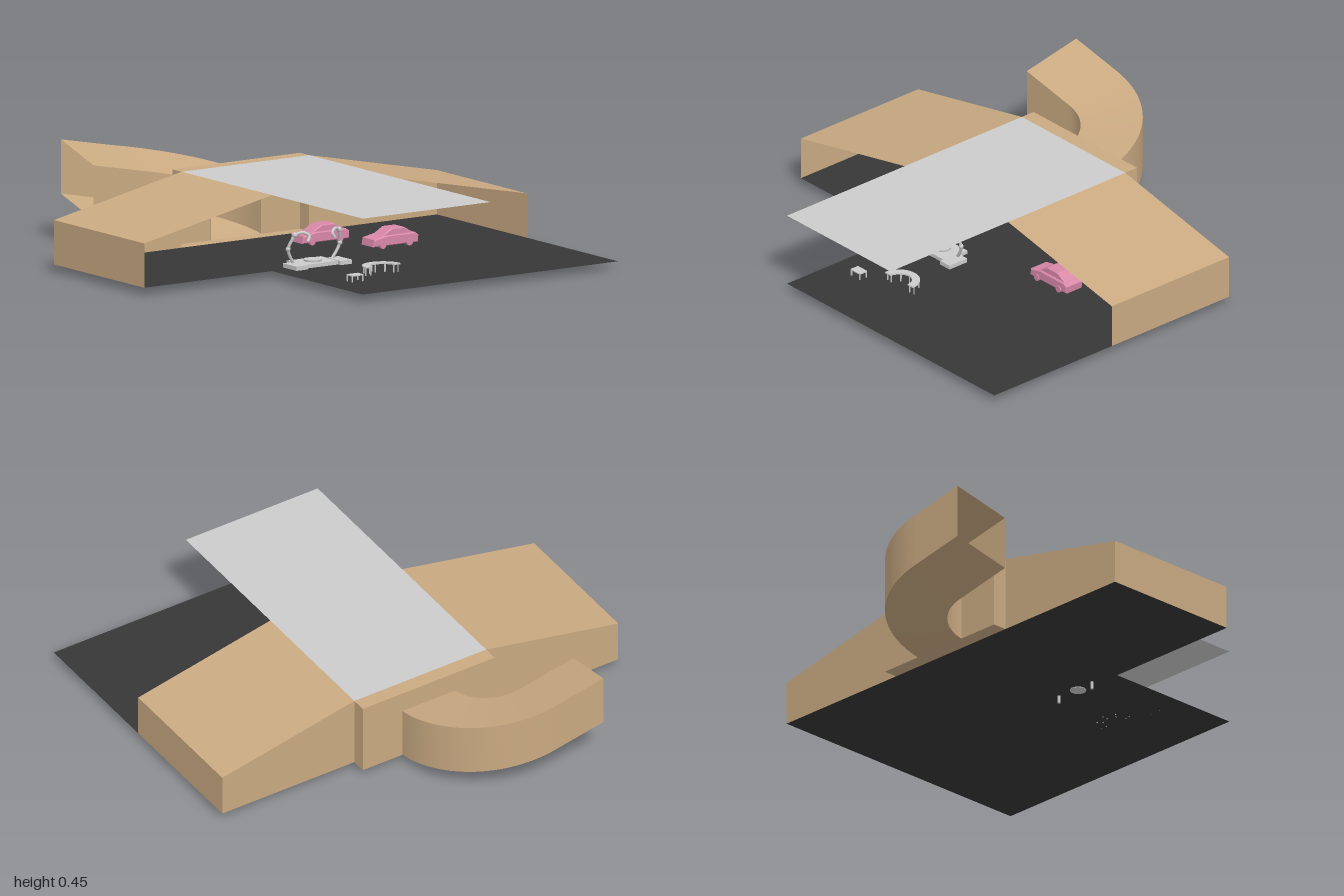
import * as THREE from 'three';

const mat = (color, flat = false) =>
  new THREE.MeshStandardMaterial({ color, side: THREE.DoubleSide, flatShading: flat });
const tan = mat(0xcaaa82), grey = mat(0xcccccc), black = mat(0x373737), pink = mat(0xd988a8, true);

const Y0 = 0.033, YW = 0.225, YR = 0.362;   // floor, wing eave, main roof
const XM = 0.333, ZB = -0.4, ZF = 0.265, ZE = 0.933, ZN = -0.467;

function add(parent, name, geo, material, x = 0, y = 0, z = 0) {
  const m = new THREE.Mesh(geo, material);
  m.name = name;
  m.position.set(x, y, z);
  parent.add(m);
  return m;
}

// ribbon of quads between two rows of points
function ribbon(a, b) {
  const pos = [], idx = [];
  a.forEach((p, i) => {
    pos.push(...p, ...b[i]);
    if (i) { const k = 2 * i; idx.push(k - 2, k - 1, k, k, k - 1, k + 1); }
  });
  const g = new THREE.BufferGeometry();
  g.setAttribute('position', new THREE.Float32BufferAttribute(pos, 3));
  g.setIndex(idx);
  g.computeVertexNormals();
  return g;
}

const flatShape = pts => new THREE.ShapeGeometry(new THREE.Shape(pts.map(p => new THREE.Vector2(...p))));

function tube(parent, name, pts, r) {
  const c = new THREE.CatmullRomCurve3(pts.map(p => new THREE.Vector3(...p)));
  return add(parent, name, new THREE.TubeGeometry(c, 20, r, 8), grey);
}

// open-fronted hall with two sloping wings and a rear recess
function makeHall() {
  const g = new THREE.Group();
  g.name = 'hall';
  const floor = flatShape([[-1, -ZB], [-1, -ZF], [-XM, -ZF], [-XM, -ZE], [1, -ZE], [1, -ZB]]);
  add(g, 'ground', floor.rotateX(-Math.PI / 2), black, 0, Y0, 0);
  add(g, 'mainRoof', ribbon([[-XM, YR, ZE], [XM, YR, ZE]], [[-XM, YR, ZB], [XM, YR, ZB]]), grey);
  for (const s of [-1, 1]) {
    const side = s < 0 ? 'right' : 'left';
    add(g, side + 'WingRoof', ribbon([[s * XM, YR, ZF], [s, YW, ZF]], [[s * XM, YR, ZB], [s, YW, ZB]]), tan);
    add(g, side + 'EndWall', ribbon([[s, YW, ZF], [s, Y0, ZF]], [[s, YW, ZB], [s, Y0, ZB]]), tan);
    add(g, side + 'BackWall', flatShape([[s * XM, Y0], [s, Y0], [s, YW], [s * XM, YR]]), tan, 0, 0, ZB);
    add(g, side + 'RecessWall', ribbon([[s * XM, YR, ZB], [s * XM, Y0, ZB]], [[s * XM, YR, ZN], [s * XM, Y0, ZN]]), tan);
  }
  for (const [name, y] of [['recessRoof', YR], ['recessFloor', Y0]])
    add(g, name, ribbon([[-XM, y, ZB], [XM, y, ZB]], [[-XM, y, ZN], [XM, y, ZN]]), tan);
  // rear wall with doorway
  add(g, 'doorWall', flatShape([[-XM, Y0], [-0.135, Y0], [-0.135, 0.265], [0.13, 0.265],
    [0.13, Y0], [XM, Y0], [XM, YR], [-XM, YR]]), tan, 0, 0, ZN);
  return g;
}

// rising tunnel: quarter turn, then a short straight run
function makeTunnel() {
  const g = new THREE.Group();
  g.name = 'tunnel';
  const H = 0.235, CX = -0.333, N = 32;
  const edge = (r, endX, y) => {
    const row = [];
    for (let i = 0; i <= N; i++) {
      const a = (i / N) * Math.PI / 2;
      row.push([CX + r * Math.cos(a), y + 0.178 * r * a, ZN - r * Math.sin(a)]);
    }
    row.push([endX, row[N][1] + 0.2 * (CX - endX), row[N][2]]);
    return row;
  };
  const ib = edge(0.2, -0.603, Y0), ob = edge(0.465, -0.585, Y0);
  const it = edge(0.2, -0.603, Y0 + H), ot = edge(0.465, -0.585, Y0 + H);
  add(g, 'tunnelFloor', ribbon(ib, ob), tan);
  add(g, 'tunnelRoof', ribbon(ot, it), tan);
  add(g, 'tunnelInnerWall', ribbon(it, ib), tan);
  add(g, 'tunnelOuterWall', ribbon(ob, ot), tan);
  return g;
}

// low-poly car facing -x
function makeCar(name, x, z, len) {
  const g = new THREE.Group();
  g.name = name;
  const extrude = (pts, w, bevel) => new THREE.ExtrudeGeometry(
    new THREE.Shape(pts.map(p => new THREE.Vector2(p[0] * len, p[1]))),
    { depth: w, bevelEnabled: true, bevelSize: bevel, bevelThickness: bevel, bevelSegments: 1 }
  ).translate(0, 0, -w / 2);
  add(g, 'carBody', extrude([[-0.47, 0.014], [0.47, 0.014], [0.48, 0.04], [0.42, 0.05],
    [-0.2, 0.05], [-0.45, 0.038]], 0.085, 0.004), pink);
  add(g, 'carCabin', extrude([[-0.26, 0.05], [0.42, 0.05], [0.2, 0.077], [-0.06, 0.077]], 0.065, 0.004), pink);
  for (const wx of [-0.29, 0.29]) for (const wz of [-0.042, 0.042])
    add(g, 'wheel', new THREE.CylinderGeometry(0.016, 0.016, 0.018, 12).rotateX(Math.PI / 2), pink, wx * len, 0.016, wz);
  g.position.set(x, Y0, z);
  return g;
}

// platform with two hooked arms and feet through the ground
function makeArmStation() {
  const g = new THREE.Group();
  g.name = 'armStation';
  add(g, 'platform', new THREE.BoxGeometry(0.18, 0.016, 0.13), grey, 0, 0.044, 0);
  add(g, 'hub', new THREE.CylinderGeometry(0.04, 0.035, 0.03, 20), grey, 0, 0.045, 0);
  for (const s of [-1, 1]) {
    add(g, 'sidePlate', new THREE.BoxGeometry(0.06, 0.018, 0.1), grey, s * 0.115, 0.045, 0.035);
    add(g, 'foot', new THREE.CylinderGeometry(0.007, 0.007, 0.05, 10), grey, s * 0.1, 0.025, -0.015);
    tube(g, 'arm', [[s * 0.1, 0.05, 0], [s * 0.125, 0.09, 0.005], [s * 0.135, 0.12, 0.01],
      [s * 0.115, 0.18, 0.03]], 0.007);
    tube(g, 'hook', [[s * 0.115, 0.18, 0.03], [s * 0.085, 0.19, 0.045], [s * 0.06, 0.175, 0.06],
      [s * 0.07, 0.155, 0.065]], 0.007);
    add(g, 'elbow', new THREE.SphereGeometry(0.011, 12, 8), grey, s * 0.135, 0.118, 0.01);
    add(g, 'wrist', new THREE.SphereGeometry(0.012, 12, 8), grey, s * 0.115, 0.18, 0.03);
  }
  g.position.set(-0.11, 0, 0.25);
  return g;
}

// curved desk on thin legs
function makeDesk() {
  const g = new THREE.Group();
  g.name = 'curvedDesk';
  const s = new THREE.Shape();
  s.absarc(0, 0, 0.09, 0, Math.PI, false);
  s.absarc(0, 0, 0.055, Math.PI, 0, true);
  add(g, 'deskTop', new THREE.ExtrudeGeometry(s, { depth: 0.006, bevelEnabled: false, curveSegments: 24 })
    .rotateX(-Math.PI / 2), grey, 0, 0.067, 0);
  for (let i = 0; i < 5; i++) for (const r of [0.06, 0.085]) {
    const a = (0.04 + 0.23 * i) * Math.PI;
    add(g, 'deskLeg', new THREE.CylinderGeometry(0.003, 0.003, 0.038, 8), grey,
      r * Math.cos(a), 0.05, -r * Math.sin(a));
  }
  g.position.set(0.01, 0, 0.6);
  return g;
}

// small low bench
function makeBench() {
  const g = new THREE.Group();
  g.name = 'bench';
  add(g, 'benchTop', new THREE.BoxGeometry(0.06, 0.005, 0.042), grey, 0, 0.061, 0);
  for (const x of [-0.027, 0.027]) for (const z of [-0.018, 0.018])
    add(g, 'benchLeg', new THREE.BoxGeometry(0.005, 0.026, 0.005), grey, x, 0.046, z);
  g.position.set(-0.18, 0, 0.66);
  return g;
}

export function createModel() {
  const model = new THREE.Group();
  model.name = 'pavilion';
  model.add(makeHall(), makeTunnel(), makeCar('rearCar', 0.225, -0.17, 0.25),
    makeCar('frontCar', 0.42, 0.07, 0.24), makeArmStation(), makeDesk(), makeBench());
  return model;
}
